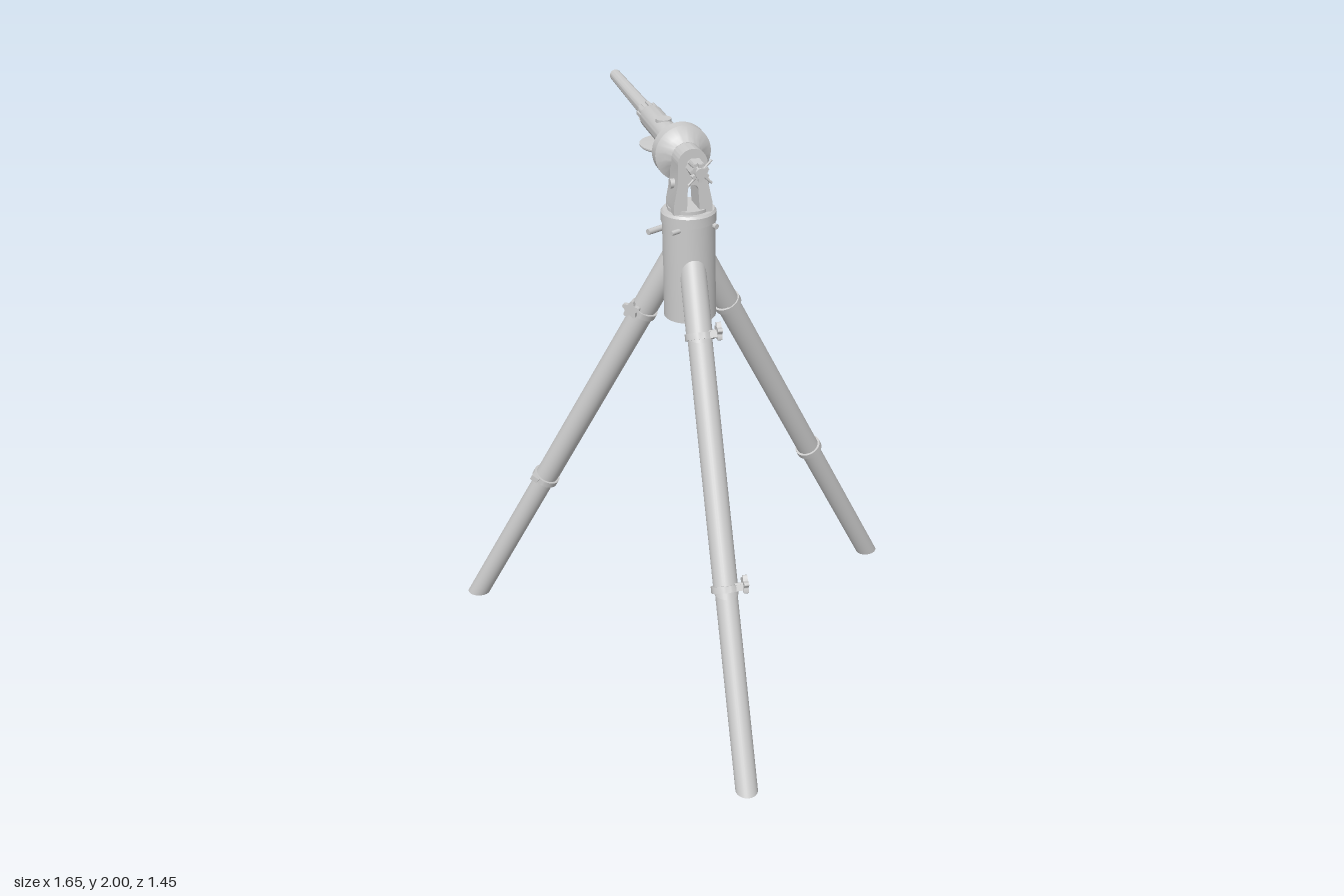
import * as THREE from 'three';
import { toCreasedNormals } from 'three/addons/utils/BufferGeometryUtils.js';

const grey = new THREE.MeshStandardMaterial({ color: 0xcccccc, side: THREE.DoubleSide });
const rad = THREE.MathUtils.degToRad;

function add(parent, name, geo, x = 0, y = 0, z = 0) {
  const m = new THREE.Mesh(geo, grey);
  m.name = name;
  m.position.set(x, y, z);
  parent.add(m);
  return m;
}

// Solid of revolution from [radius, height] pairs, with crisp edges
function lathe(points, seg = 40) {
  const g = new THREE.LatheGeometry(points.map(p => new THREE.Vector2(p[0], p[1])), seg);
  return toCreasedNormals(g, rad(35));
}
// The same, lying along +x
const turned = (points, seg) => lathe(points, seg).rotateZ(-Math.PI / 2);
const cyl = (r, h, seg = 24) => new THREE.CylinderGeometry(r, r, h, seg);

// Leaning open tube whose ends are cut level with the ground
function leaningTube(r, y0, y1, d0, lean) {
  const g = new THREE.CylinderGeometry(r, r, y1 - y0, 32, 1, true);
  g.scale(Math.hypot(1, lean), 1, 1).translate(0, (y0 + y1) / 2, 0);
  const p = g.attributes.position;
  for (let i = 0; i < p.count; i++) p.setX(i, p.getX(i) + d0 - lean * p.getY(i));
  g.computeVertexNormals();
  return g;
}

// Five-lobed hand knob, facing -z
function knobGeometry() {
  const s = new THREE.Shape();
  for (let i = 0; i <= 60; i++) {
    const a = i / 60 * Math.PI * 2, r = 0.026 + 0.006 * Math.cos(5 * a);
    i ? s.lineTo(r * Math.cos(a), r * Math.sin(a)) : s.moveTo(r, 0);
  }
  const g = new THREE.ExtrudeGeometry(s, { depth: 0.016, bevelEnabled: false });
  return toCreasedNormals(g.translate(0, 0, -0.008), rad(40));
}

// Clamp ring around the leg, with an optional knob
function addClamp(leg, y, d0, lean, withKnob) {
  const c = new THREE.Group();
  c.name = 'legClamp';
  c.position.set(d0 - lean * y, y, 0);
  c.rotation.z = Math.atan(lean);
  add(c, 'clampRing', lathe([[0.04, -0.011], [0.049, -0.011], [0.049, 0.011], [0.04, 0.011], [0.04, -0.011]]));
  add(c, 'clampLug', new THREE.BoxGeometry(0.03, 0.02, 0.03), 0.025, 0, -0.04);
  if (withKnob) {
    add(c, 'knobStem', cyl(0.007, 0.04, 12).rotateX(Math.PI / 2), 0.03, 0.01, -0.045);
    add(c, 'clampKnob', knobGeometry(), 0.03, 0.01, -0.06);
  }
  leg.add(c);
}

function makeLeg(name, degrees, foot, d0, lean, lowerKnob) {
  const leg = new THREE.Group();
  leg.name = name;
  leg.rotation.y = rad(degrees);
  add(leg, 'legSocket', leaningTube(0.044, 1.34, 1.58, d0, lean));
  add(leg, 'upperTube', leaningTube(0.041, 0.6, 1.36, d0, lean));
  add(leg, 'lowerTube', leaningTube(0.037, foot, 0.66, d0, lean));
  addClamp(leg, 1.34, d0, lean, true);
  addClamp(leg, 0.61, d0, lean, lowerKnob);
  return leg;
}

// Arched bracket: two feet under a round eye
function bracketGeometry() {
  const s = new THREE.Shape();
  s.moveTo(-0.066, -0.17);
  s.lineTo(-0.066, -0.14);
  s.lineTo(-0.05, -0.06);
  s.lineTo(-0.05, 0);
  s.absarc(0, 0, 0.05, Math.PI, 0, true);
  s.lineTo(0.05, -0.06);
  s.lineTo(0.066, -0.14);
  s.lineTo(0.066, -0.17);
  s.lineTo(0.022, -0.17);
  s.lineTo(0.018, -0.09);
  s.absarc(0, -0.09, 0.018, 0, Math.PI, false);
  s.lineTo(-0.022, -0.17);
  const g = new THREE.ExtrudeGeometry(s, { depth: 0.09, bevelEnabled: false, curveSegments: 20 });
  return toCreasedNormals(g.translate(0, 0, -0.045).rotateY(Math.PI / 2), rad(35));
}

function makeHead() {
  const head = new THREE.Group();
  head.name = 'swivelHead';
  head.position.y = 1.9;
  head.rotation.y = rad(156.4);
  add(head, 'bracket', bracketGeometry(), -0.01);
  // Bracket feet bolts and side pivots
  for (const z of [-0.05, 0.05]) {
    for (const x of [-0.035, 0.035]) add(head, 'footBolt', cyl(0.011, 0.02, 6), x, -0.155, z);
    add(head, 'pivotBoss', cyl(0.016, 0.02).rotateX(Math.PI / 2), -0.01, -0.075, z * 1.1);
  }
  add(head, 'stopLever', new THREE.BoxGeometry(0.05, 0.014, 0.02), 0.06, -0.085, 0.03);

  const arm = new THREE.Group();
  arm.name = 'tiltingArm';
  arm.rotation.z = 0.025;
  head.add(arm);
  // Stepped drum
  add(arm, 'drum', turned([[0, 0.015], [0.05, 0.015], [0.065, 0.035], [0.095, 0.05], [0.095, 0.088],
    [0.08, 0.092], [0.078, 0.125], [0.055, 0.15], [0.04, 0.165], [0, 0.165]], 48));
  // Rear spindle with slotted nut and cotter pins
  add(arm, 'rearSpindle', turned([[0, -0.145], [0.018, -0.145], [0.02, -0.13], [0.02, -0.05], [0.036, -0.05], [0.036, 0.02]]));
  add(arm, 'rearNut', turned([[0, -0.125], [0.031, -0.125], [0.031, -0.075], [0, -0.075]], 6));
  for (let i = 0; i < 6; i++) {
    const a = i * Math.PI / 3;
    add(arm, 'nutTooth', new THREE.BoxGeometry(0.02, 0.012, 0.012), -0.13, 0.024 * Math.cos(a), 0.024 * Math.sin(a)).rotation.x = a;
  }
  for (const s of [-1, 1]) {
    add(arm, 'cotterPin', cyl(0.004, 0.11, 8), -0.133).rotation.x = s * Math.PI / 4;
  }
  // Body, slotted collar and long tapered rod
  add(arm, 'body', turned([[0.04, 0.15], [0.042, 0.17], [0.042, 0.42], [0.036, 0.44], [0, 0.44]]));
  add(arm, 'collar', turned([[0, 0.435], [0.032, 0.435], [0.032, 0.485], [0.026, 0.49], [0, 0.49]]));
  for (let i = 0; i < 8; i++) {
    const a = i * Math.PI / 4;
    add(arm, 'collarRib', new THREE.BoxGeometry(0.05, 0.01, 0.012), 0.455, 0.033 * Math.cos(a), 0.033 * Math.sin(a)).rotation.x = a;
  }
  add(arm, 'rod', turned([[0.026, 0.48], [0.021, 0.905], [0.016, 0.905], [0.016, 0.87], [0, 0.87]]));
  // Vertical boss through the body with a round plate beneath
  add(arm, 'boss', cyl(0.027, 0.085), 0.275, 0.002);
  add(arm, 'roundPlate', lathe([[0, -0.052], [0.078, -0.052], [0.083, -0.047], [0.083, -0.042], [0, -0.036]]), 0.275);
  return head;
}

export function createModel() {
  const model = new THREE.Group();
  model.name = 'tripod';
  const stand = new THREE.Group();
  stand.name = 'stand';
  stand.position.z = 0.24;
  model.add(stand);

  // Hollow column with a rotating cap
  add(stand, 'column', lathe([[0.08, 1.69], [0.08, 1.35], [0.088, 1.35], [0.088, 1.69]], 48));
  add(stand, 'cap', lathe([[0, 1.69], [0.092, 1.69], [0.092, 1.722], [0.086, 1.73], [0, 1.73]], 48));
  add(stand, 'capBase', cyl(0.07, 0.012, 40), 0, 1.735);
  // Locking pins around the column
  add(stand, 'lockLever', cyl(0.01, 0.07, 14).rotateX(Math.PI / 2), -0.06, 1.66, 0.09);
  add(stand, 'lockPin', cyl(0.008, 0.04, 14).rotateX(Math.PI / 2), 0.04, 1.68, 0.088);
  add(stand, 'sidePin', cyl(0.009, 0.03, 14).rotateZ(Math.PI / 2), 0.08, 1.68, -0.04);

  stand.add(makeLeg('backLeg', 90, 0, 0.925, 0.565, true));
  stand.add(makeLeg('leftLeg', -30, 0.03, 0.91, 0.553, true));
  const right = makeLeg('rightLeg', 210, 0.04, 0.91, 0.553, false);
  // Spare tube carried beside the right leg
  add(right, 'sideTube', leaningTube(0.04, 0.6, 1.34, 0.91, 0.553), 0, 0, 0.026);
  stand.add(right);

  stand.add(makeHead());
  return model;
}
